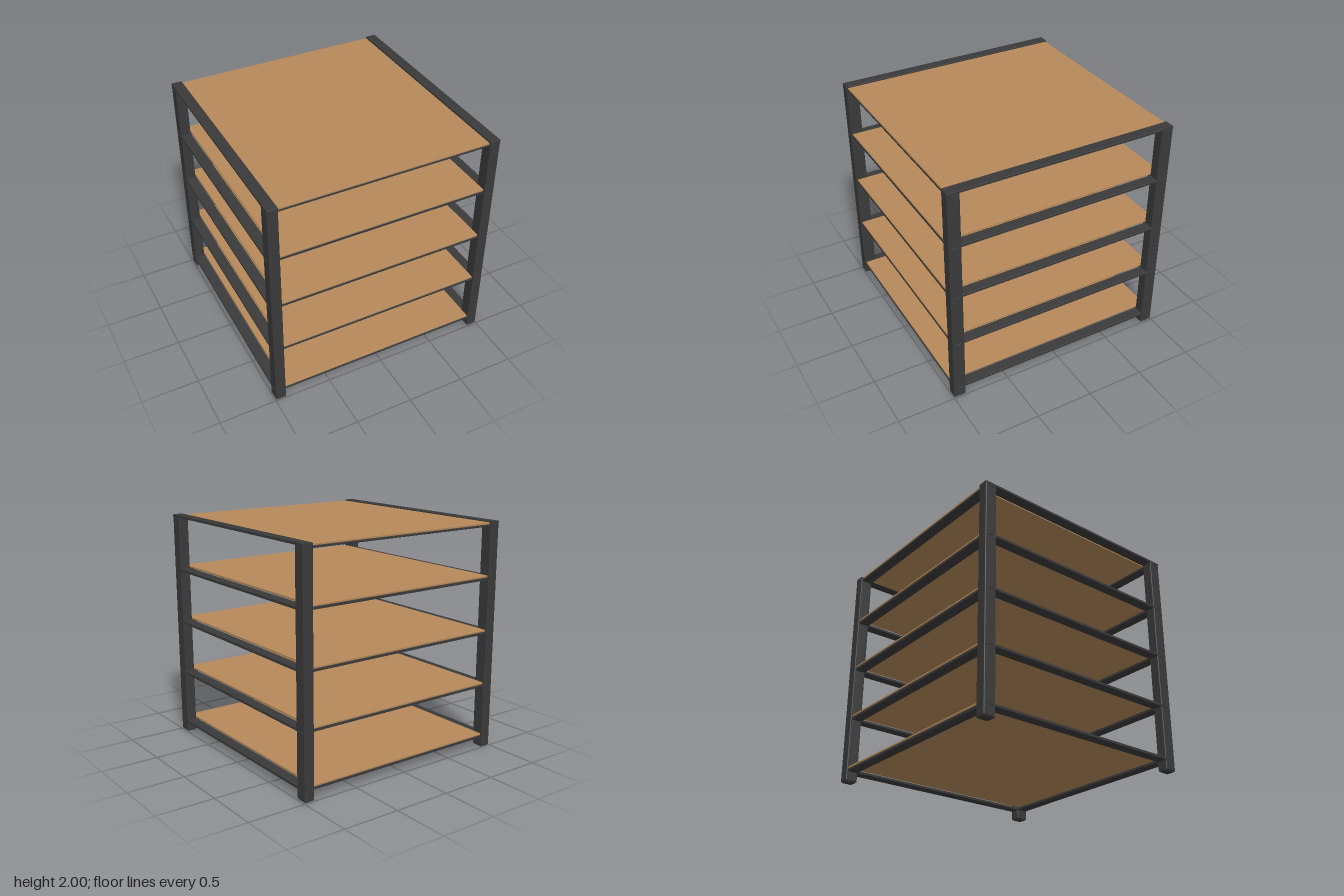
import * as THREE from 'three';
import { RoundedBoxGeometry } from 'three/addons/geometries/RoundedBoxGeometry.js';

const metal = new THREE.MeshStandardMaterial({ color: 0x3a3a3a });
metal.name = 'dark metal';
const wood = new THREE.MeshStandardMaterial({ color: 0xb5895a });
wood.name = 'wood';

// Softly rounded bar spanning the given minimum and maximum corners
function bar(parent, name, material, min, max, radius) {
  const size = max.map((v, i) => v - min[i]);
  const mesh = new THREE.Mesh(new RoundedBoxGeometry(...size, 2, radius), material);
  mesh.position.set(...max.map((v, i) => (v + min[i]) / 2));
  mesh.name = name;
  parent.add(mesh);
  return mesh;
}

export function createModel() {
  const rack = new THREE.Group();
  rack.name = 'shelfRack';

  // Height of the underside of the frame below each shelf
  const levels = [0.088, 0.56, 1.032, 1.504, 1.957];
  const sides = [-1, 1];

  // Four corner posts, each on a small foot
  for (const sx of sides) {
    for (const sz of sides) {
      const x = sx * 0.95, z = sz * 0.944;
      bar(rack, 'post', metal, [x - 0.045, 0.006, z - 0.053], [x + 0.045, 1.998, z + 0.053], 0.008);
      bar(rack, 'foot', metal, [x - 0.036, 0, z - 0.044], [x + 0.036, 0.02, z + 0.044], 0.003);
    }
  }

  levels.forEach((y, i) => {
    const isTop = i === levels.length - 1;
    const level = new THREE.Group();
    level.name = 'shelfLevel';
    rack.add(level);

    // Wooden board resting on the front and back rails
    const railTop = y + (isTop ? 0.018 : 0.023);
    bar(level, 'shelf', wood, [-0.9, railTop, -0.985], [0.9, railTop + 0.017, 0.985], 0.003);

    for (const s of sides) {
      // Flat front and back rails between the posts
      const z = s * 0.94;
      bar(level, 'crossRail', metal, [-0.91, y, z - 0.045], [0.91, railTop, z + 0.045], 0.003);

      // Flat side rails; the top pair caps the posts
      const x = s * 0.95;
      const [low, high, end] = isTop ? [1.979, 2, 0.997] : [y, railTop, 0.9];
      bar(level, 'sideRail', metal, [x - 0.045, low, -end], [x + 0.045, high, end], 0.003);

      // Small rail tabs showing on the outer faces of the posts
      for (const sz of sides) {
        const t = sz * 0.94;
        bar(level, 'railTab', metal, [s * 0.99 - 0.01, y + 0.005, t - 0.027], [s * 0.99 + 0.01, y + 0.012, t + 0.027], 0.002);
      }
    }
  });

  return rack;
}
